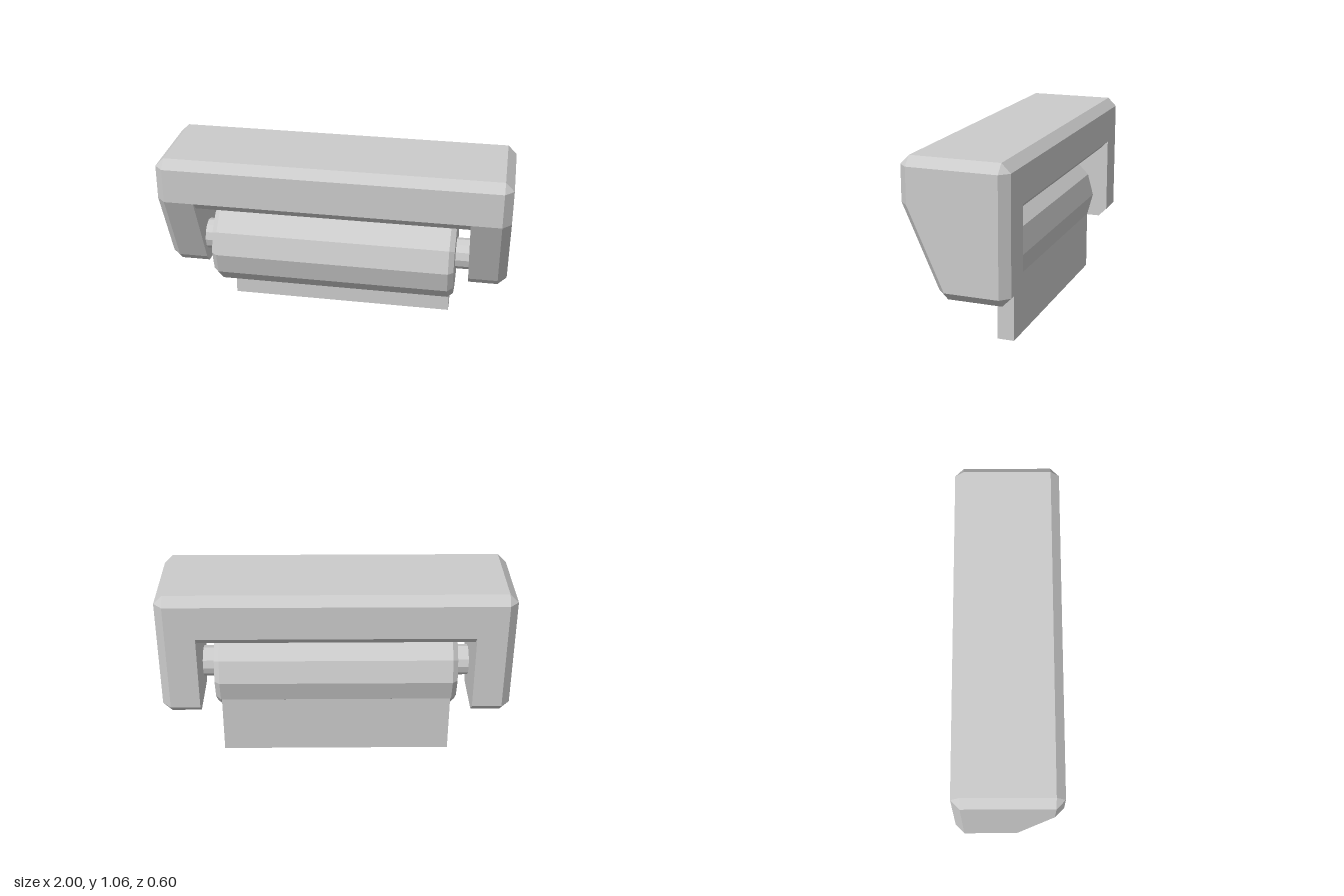
import * as THREE from 'three';

const material = new THREE.MeshStandardMaterial({ color: 0xcccccc, flatShading: true });

function addMesh(parent, name, geometry) {
  const flat = geometry.index ? geometry.toNonIndexed() : geometry;
  flat.computeVertexNormals();
  const mesh = new THREE.Mesh(flat, material);
  mesh.name = name;
  parent.add(mesh);
  return mesh;
}

// Skins [z, y] profiles placed at ascending x, with flat end caps.
function loft(sections) {
  const rings = sections.map(([x, profile]) => profile.map(([z, y]) => new THREE.Vector3(x, y, z)));
  const out = [];
  const tri = (a, b, c) => {
    if (new THREE.Triangle(a, b, c).getArea() > 1e-7) out.push(...a, ...b, ...c);
  };
  const n = rings[0].length;
  for (let r = 0; r < rings.length - 1; r++) {
    for (let i = 0; i < n; i++) {
      const j = (i + 1) % n;
      tri(rings[r][i], rings[r][j], rings[r + 1][j]);
      tri(rings[r][i], rings[r + 1][j], rings[r + 1][i]);
    }
  }
  const first = rings[0], last = rings[rings.length - 1];
  for (let i = 1; i < n - 1; i++) {
    tri(first[0], first[i + 1], first[i]);
    tri(last[0], last[i], last[i + 1]);
  }
  const geometry = new THREE.BufferGeometry();
  geometry.setAttribute('position', new THREE.Float32BufferAttribute(out, 3));
  return geometry;
}

export function createModel() {
  const model = new THREE.Group();
  model.name = 'rollHolder';

  // Side arms: full profile, shrinking to a chamfered outer face
  const full = [[-0.25, 1.06], [0.25, 1.06], [0.3, 1.01], [0.3, 0.81], [0.1, 0.36],
    [0.05, 0.31], [-0.25, 0.31], [-0.3, 0.36], [-0.3, 1.01]];
  const face = [[-0.25, 1.01], [0.25, 1.01], [0.25, 1.01], [0.25, 0.81], [0.05, 0.36],
    [0.05, 0.36], [-0.25, 0.36], [-0.25, 0.36], [-0.25, 1.01]];
  const housing = new THREE.Group();
  housing.name = 'housing';
  model.add(housing);
  addMesh(housing, 'leftArm', loft([[0.78, full], [0.95, full], [1, face]]));
  addMesh(housing, 'rightArm', loft([[-1, face], [-0.95, full], [-0.78, full]]));

  // Top bar between the arms, chamfered along all four long edges
  const bar = [[-0.25, 1.06], [0.25, 1.06], [0.3, 1.01], [0.3, 0.81],
    [0.25, 0.76], [-0.25, 0.76], [-0.3, 0.81], [-0.3, 1.01]];
  addMesh(housing, 'topBar', loft([[-0.78, bar], [0.78, bar]]));

  // Paper roll with chamfered ends
  const rollProfile = [[0, -0.7], [0.235, -0.7], [0.26, -0.67], [0.26, 0.67], [0.235, 0.7], [0, 0.7]]
    .map(([r, y]) => new THREE.Vector2(r, y));
  const roll = addMesh(model, 'paperRoll', new THREE.LatheGeometry(rollProfile, 12));

  // Spindle carrying the roll
  const spindle = addMesh(model, 'spindle', new THREE.CylinderGeometry(0.09, 0.09, 1.6, 12));
  for (const part of [roll, spindle]) {
    part.rotation.z = Math.PI / 2;
    part.position.set(0, 0.48, 0.02);
  }

  // Sheet hanging from the back of the roll
  const sheet = addMesh(model, 'hangingSheet', new THREE.BoxGeometry(1.33, 0.37, 0.095));
  sheet.position.set(0, 0.185, -0.1575);

  return model;
}
